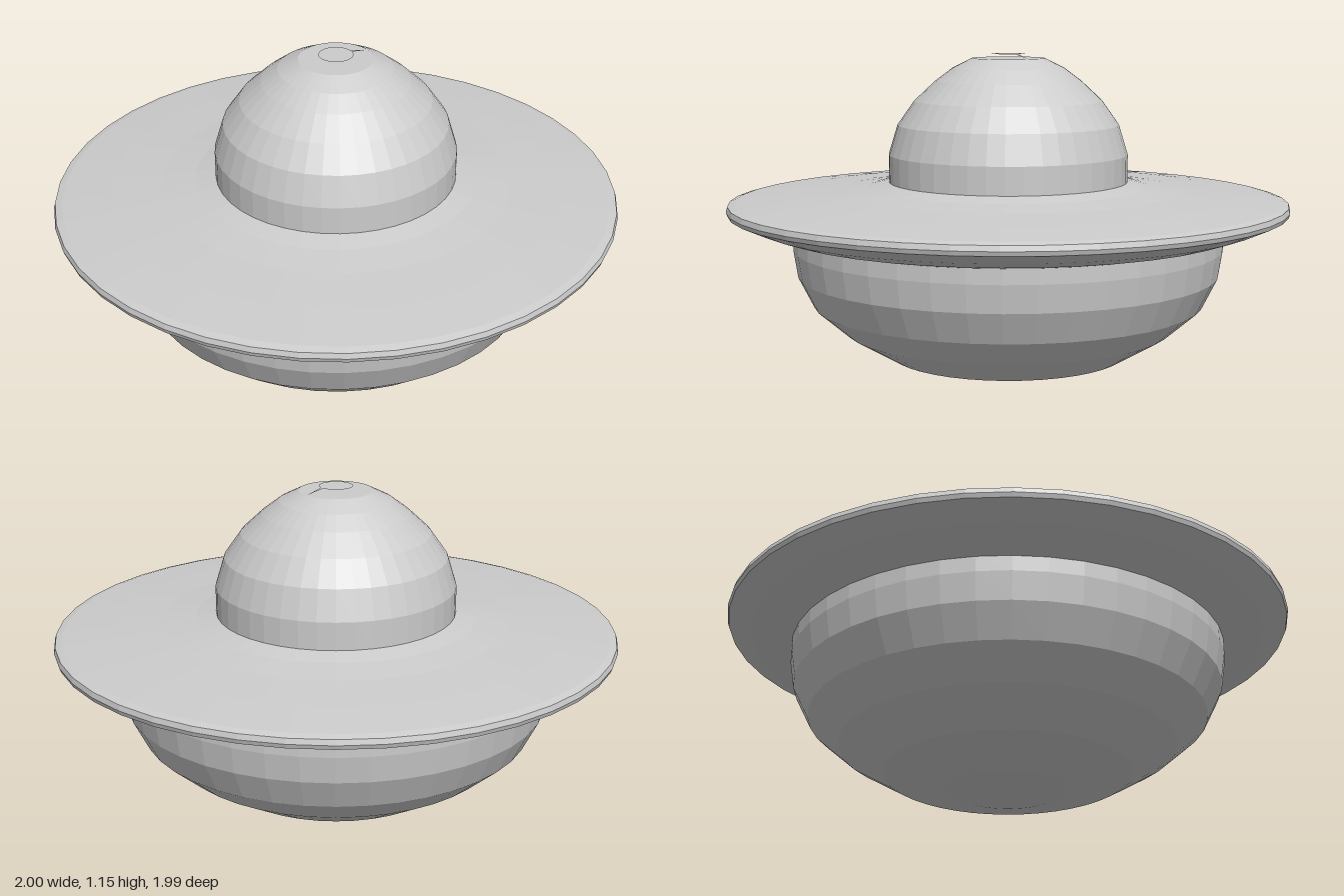
import * as THREE from 'three';

const SIDES = 42;
const material = new THREE.MeshStandardMaterial({ color: 0xcccccc, flatShading: true });
const thinMaterial = new THREE.MeshStandardMaterial({
  color: 0xcccccc, flatShading: true, side: THREE.DoubleSide,
});

// Faceted solid of revolution from [radius, height] pairs, listed bottom to top
function turned(name, profile) {
  const points = profile.map(([r, y]) => new THREE.Vector2(r, y));
  const mesh = new THREE.Mesh(new THREE.LatheGeometry(points, SIDES, Math.PI / 2), material);
  mesh.name = name;
  return mesh;
}

export function createModel() {
  const saucer = new THREE.Group();
  saucer.name = 'flyingSaucer';

  // Rounded belly below the rim
  saucer.add(turned('lowerHull', [
    [0, 0], [0.2, 0.02], [0.43, 0.075], [0.59, 0.17], [0.7, 0.265], [0.755, 0.375],
    [0.77, 0.47], [0.77, 0.53],
  ]));

  // Wide flying rim with a thin, rounded edge
  saucer.add(turned('rimDisc', [
    [0.7, 0.52], [0.76, 0.52], [0.83, 0.535], [0.91, 0.562], [0.995, 0.6],
    [1, 0.615], [0.995, 0.633], [0.97, 0.64], [0.8, 0.657], [0.62, 0.671],
    [0.5, 0.686], [0.43, 0.702], [0.4, 0.703],
  ]));

  // Upper dome with a flat crown
  saucer.add(turned('dome', [
    [0.427, 0.69], [0.427, 0.8], [0.395, 0.905], [0.335, 0.99], [0.26, 1.06],
    [0.2, 1.105], [0.13, 1.14], [0, 1.14],
  ]));

  // Thin lid hovering just above the crown
  const lid = new THREE.Mesh(new THREE.CircleGeometry(0.06, SIDES), thinMaterial);
  lid.name = 'crownLid';
  lid.rotation.x = -Math.PI / 2;
  lid.position.y = 1.155;
  saucer.add(lid);

  // Small sliver joining the lid to the crown edge
  const tab = new THREE.BufferGeometry().setFromPoints([
    new THREE.Vector3(0.06, 1.155, -0.005),
    new THREE.Vector3(0.058, 1.155, 0.01),
    new THREE.Vector3(0.13, 1.14, 0),
  ]);
  tab.computeVertexNormals();
  const lidTab = new THREE.Mesh(tab, thinMaterial);
  lidTab.name = 'lidTab';
  saucer.add(lidTab);

  return saucer;
}
